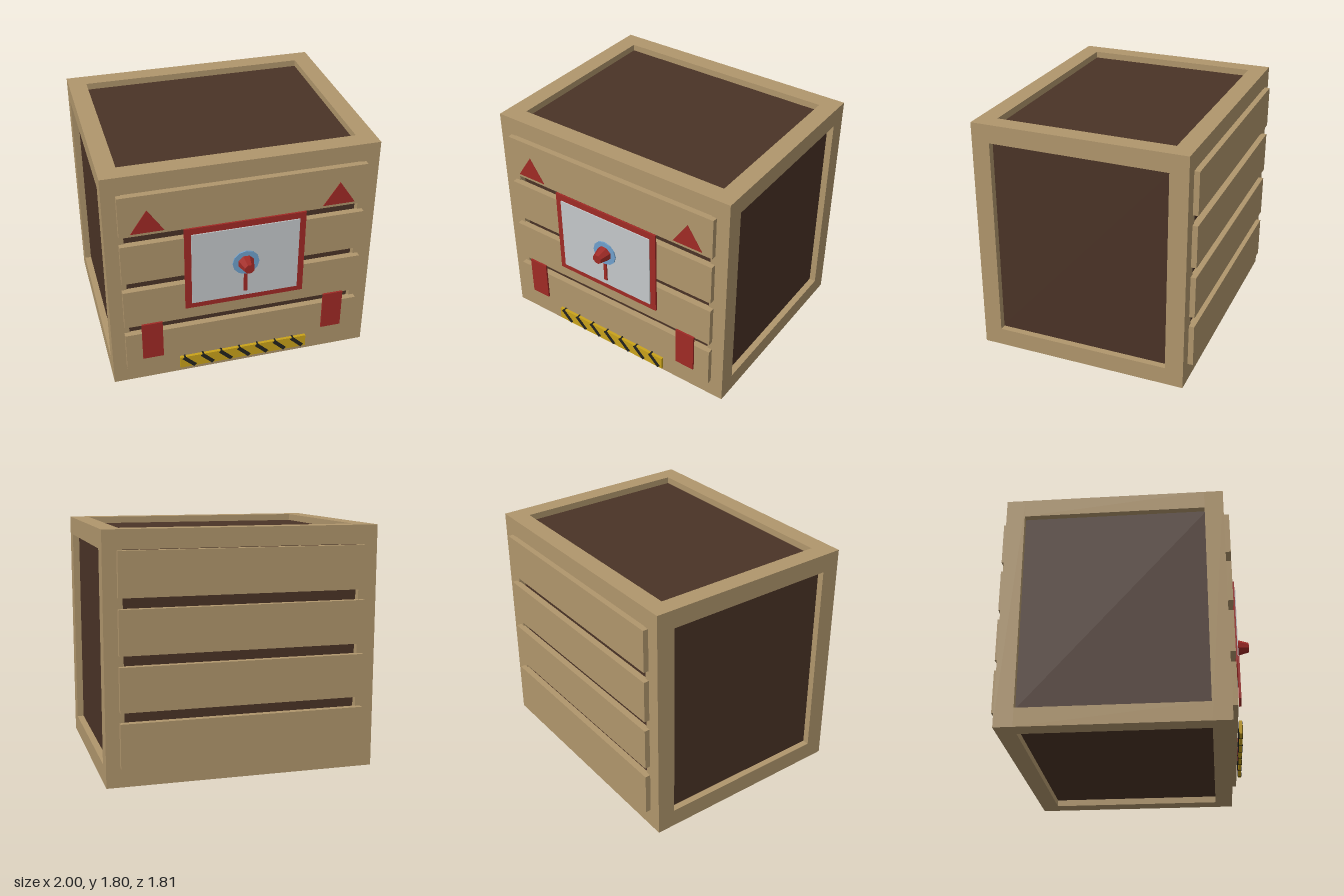
import * as THREE from 'three';

const mat = (color) => new THREE.MeshStandardMaterial({ color, flatShading: true });

export function createModel() {
  const group = new THREE.Group();
  const wood = mat(0xb0966c), dark = mat(0x4a3326), red = mat(0xa02a25);
  const plate = mat(0xc4c8ca), blue = mat(0x6fa0cc), yellow = mat(0xc9a21a), black = mat(0x22221f);

  const add = (name, geometry, material, x, y, z) => {
    const mesh = new THREE.Mesh(geometry, material);
    mesh.name = name;
    mesh.position.set(x, y, z);
    group.add(mesh);
    return mesh;
  };
  const box = (name, w, h, d, material, x, y, z) =>
    add(name, new THREE.BoxGeometry(w, h, d), material, x, y, z);

  // Crate body: dark panels recessed inside a wooden frame
  const W = 2, H = 1.8, D = 1.6, T = 0.137, midZ = -0.065;
  box('innerPanels', W - 0.1, H - 0.1, D - 0.1, dark, 0, H / 2, midZ);
  for (const a of [-1, 1]) {
    for (const b of [-1, 1]) {
      const x = a * (W - T) / 2, z = midZ + b * (D - T) / 2;
      const y = H / 2 + a * (H - T) / 2;
      box('cornerPost', T, H, T, wood, x, H / 2, z);
      box('crossRail', W - 2 * T, T, T, wood, 0, y, z);
      box('sideRail', T, T, D - 2 * T, wood, b * (W - T) / 2, y, midZ);
    }
  }

  // Horizontal planks on front and back
  for (let i = 0; i < 4; i++) {
    const y = 0.305 + i * 0.398;
    box('frontPlank', 1.8, 0.32, 0.05, wood, 0, y, 0.75);
    box('backPlank', 1.8, 0.32, 0.05, wood, 0, y, -0.88);
  }

  // Sign: red border, pale plate, dial, knob and pointer
  box('signBorder', 0.896, 0.696, 0.014, red, 0, 1.002, 0.794);
  box('signPlate', 0.8, 0.6, 0.01, plate, 0, 1.0, 0.804);
  add('dial', new THREE.CylinderGeometry(0.1, 0.1, 0.01, 12), blue, 0, 1, 0.814).rotation.x = Math.PI / 2;
  const knob = new THREE.CylinderGeometry(0.038, 0.086, 0.17, 8).rotateY(Math.PI / 8);
  add('knob', knob, red, 0, 1, 0.82).rotation.x = Math.PI / 2;
  box('pointer', 0.026, 0.255, 0.012, red, 0, 0.872, 0.813);

  // Mirrored warning triangles and latches
  const triangle = new THREE.Shape([
    new THREE.Vector2(-0.12, 0), new THREE.Vector2(0.12, 0), new THREE.Vector2(0, 0.18),
  ]);
  const triangleGeometry = new THREE.ExtrudeGeometry(triangle, { depth: 0.008, bevelEnabled: false });
  for (const s of [-1, 1]) {
    add('warningTriangle', triangleGeometry, red, s * 0.7, 1.36, 0.771);
    box('latch', 0.156, 0.32, 0.014, red, s * 0.702, 0.403, 0.794);
  }

  // Hazard strip with slanted stripes
  box('hazardStrip', 1, 0.1, 0.022, yellow, 0, 0.14, 0.795);
  for (let i = -3; i <= 3; i++) {
    box('hazardStripe', 0.125, 0.03, 0.03, black, i * 0.143, 0.142, 0.795).rotation.z = -Math.PI / 4;
  }

  return group;
}
